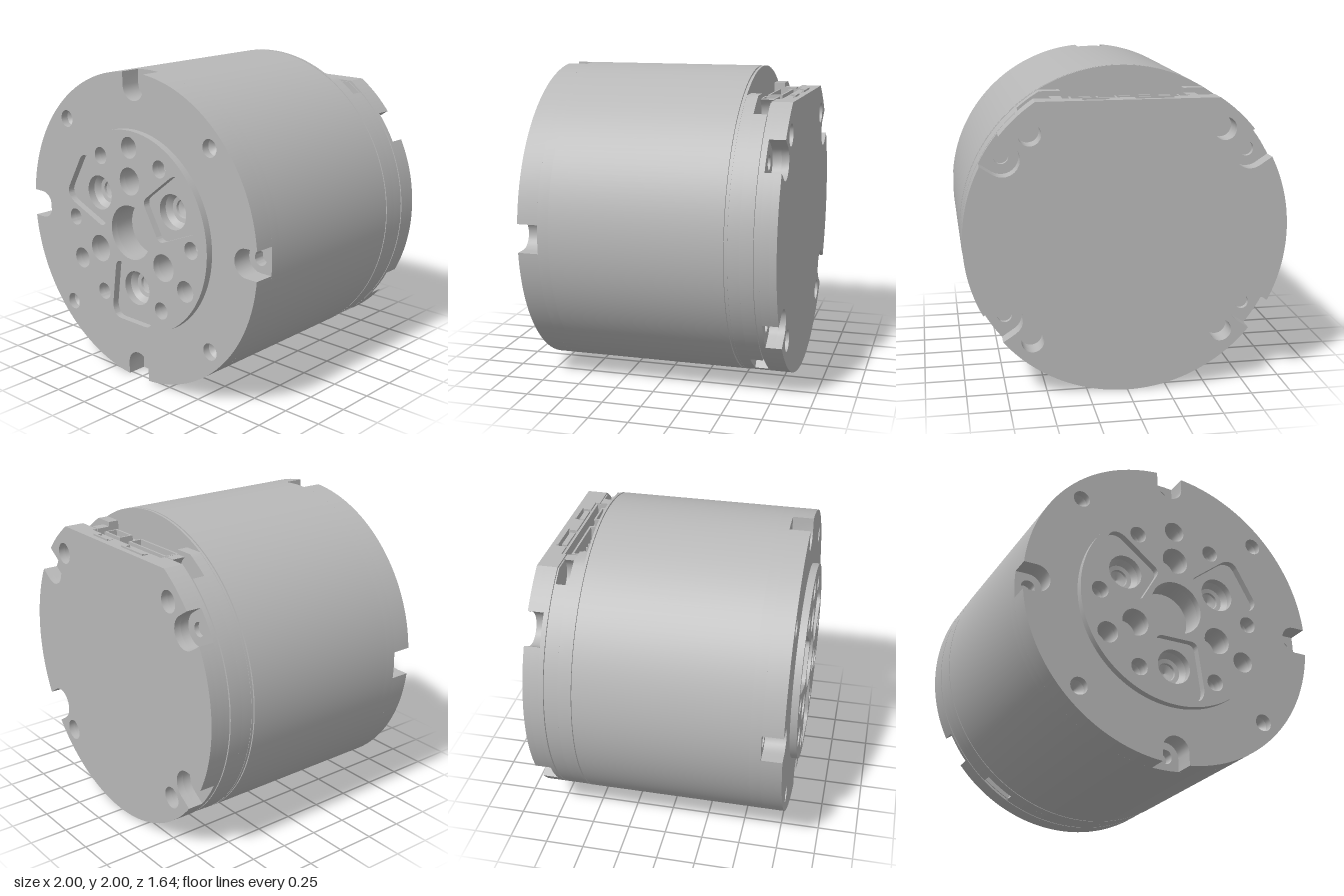
import * as THREE from 'three';
import { toCreasedNormals } from 'three/addons/utils/BufferGeometryUtils.js';

const TAU = Math.PI * 2, RAD = Math.PI / 180;
const V = (x, y) => new THREE.Vector2(x, y);
const polar = (r, deg) => [r * Math.cos(deg * RAD), r * Math.sin(deg * RAD)];

// Round-bottomed radial slot cut into a disc rim: angles it spans and its points
function slot(R, deg, w, rc) {
  const a = deg * RAD, d = Math.asin(w / R), rim = Math.sqrt(R * R - w * w);
  const at = (r, t) => V(r * Math.cos(a) - t * Math.sin(a), r * Math.sin(a) + t * Math.cos(a));
  const pts = [at(rim, -w)];
  for (let i = 0; i <= 12; i++) {
    const q = -Math.PI / 2 - (i / 12) * Math.PI;
    pts.push(at(rc + w * Math.cos(q), w * Math.sin(q)));
  }
  pts.push(at(rim, w));
  return { from: a - d, to: a + d, pts };
}

// Flat top at height h with rectangular recesses [xRight, xLeft, floor]
function flatTop(R, h, recesses = []) {
  const a = Math.asin(h / R), x = R * Math.cos(a), pts = [V(x, h)];
  for (const [r, l, f] of recesses) pts.push(V(r, h), V(r, f), V(l, f), V(l, h));
  pts.push(V(-x, h));
  return { from: a, to: Math.PI - a, pts };
}

// Disc outline made of arcs between cuts
function outline(R, cuts = []) {
  const pts = [], list = cuts.length ? [...cuts].sort((p, q) => p.from - q.from) : [{ from: 0, to: 0, pts: [] }];
  list.forEach((c, i) => {
    pts.push(...c.pts);
    const end = i + 1 < list.length ? list[i + 1].from : list[0].from + TAU;
    const n = Math.max(2, Math.ceil((end - c.to) / (2 * RAD)));
    for (let k = 1; k < n; k++) {
      const t = c.to + ((end - c.to) * k) / n;
      pts.push(V(R * Math.cos(t), R * Math.sin(t)));
    }
    if (!c.pts.length) pts.push(V(R, 0));
  });
  return new THREE.Shape(pts);
}

const circle = ([x, y], r) => new THREE.Path().absarc(x, y, r, 0, TAU, true);

// Rounded trapezoid pocket pointing outward along an angle
function pocket(deg) {
  const a = deg * RAD, c = [[0.21, -0.14], [0.54, -0.185], [0.6, -0.15], [0.6, 0.15], [0.54, 0.185], [0.21, 0.14]];
  const p = c.map(([r, t]) => V(r * Math.cos(a) - t * Math.sin(a), r * Math.sin(a) + t * Math.cos(a)));
  const path = new THREE.Path();
  p.forEach((q, i) => {
    const prev = p[(i + 5) % 6], next = p[(i + 1) % 6];
    const s = q.clone().lerp(prev, Math.min(0.4, 0.045 / q.distanceTo(prev)));
    const e = q.clone().lerp(next, Math.min(0.4, 0.045 / q.distanceTo(next)));
    if (i) path.lineTo(s.x, s.y); else path.moveTo(s.x, s.y);
    path.quadraticCurveTo(q.x, q.y, e.x, e.y);
  });
  path.closePath();
  return path;
}

export function createModel() {
  const group = new THREE.Group();
  group.name = 'actuator';
  const motor = new THREE.Group();
  motor.name = 'motor';
  motor.position.y = 1;
  group.add(motor);
  const grey = new THREE.MeshStandardMaterial({ color: 0xb8b8b8, side: THREE.DoubleSide });
  grey.name = 'grey metal';

  const add = (name, geo) => {
    const m = new THREE.Mesh(geo, grey);
    m.name = name;
    motor.add(m);
    return m;
  };
  const layer = (name, shape, z0, z1, holes = []) => {
    shape.holes.push(...holes);
    const g = new THREE.ExtrudeGeometry(shape, { depth: z1 - z0, bevelEnabled: false, curveSegments: 16 });
    return add(name, toCreasedNormals(g.translate(0, 0, z0), 0.6));
  };
  const box = (name, w, h, d, x, y, z) => add(name, new THREE.BoxGeometry(w, h, d).translate(x, y, z));
  // Turned bottom of a drilled hole
  const drill = (name, [x, y], profile) => {
    const g = new THREE.LatheGeometry(profile.map(p => V(...p)), 32).rotateX(Math.PI / 2);
    add(name, toCreasedNormals(g.translate(x, y, 0), 0.3));
  };

  // Hole positions on the front
  const quarter = [0, 90, 180, 270], third = [90, 210, 330], pockets = [30, 150, 270];
  const rimHoles = [45, 135, 225, 315].map(a => polar(0.892, a));
  const boltHoles = [0, 60, 120, 180, 240, 300].map(a => polar(0.522, a));
  const pocketHoles = pockets.map(a => polar(0.38, a));
  const hubHoles = () => [
    circle([0, 0], 0.175),
    ...boltHoles.map(p => circle(p, 0.055)),
    ...third.map(a => circle(polar(0.33, a), 0.088)),
    ...third.map(a => circle(polar(0.543, a), 0.068)),
  ];

  // Output hub and front plate
  layer('outputHub', outline(0.65), 0.78, 0.825, [...hubHoles(), ...pockets.map(pocket)]);
  layer('frontPlate', outline(1, quarter.map(a => slot(1, a, 0.09, 0.915))), 0.65, 0.78,
    [...hubHoles(), ...rimHoles.map(p => circle(p, 0.055)), ...pocketHoles.map(p => circle(p, 0.112))]);
  for (const p of [...rimHoles, ...boltHoles]) drill('holeBottom', p, [[0, 0.66], [0.055, 0.73]]);
  for (const p of pocketHoles)
    drill('pocketHoleBottom', p, [[0, 0.655], [0.055, 0.675], [0.058, 0.69], [0.085, 0.695], [0.112, 0.73]]);

  // Main housing, with screw holes in the floors of the front slots
  layer('housingFront', outline(1), 0.58, 0.65, quarter.map(a => circle(polar(0.915, a), 0.045)));
  layer('housing', outline(1), -0.507, 0.58);
  layer('seamFront', outline(0.988), -0.515, -0.507);
  layer('rearRing', outline(1), -0.53, -0.515);

  // Rear spacer with flat top, connector recess and side slots
  const recess = [0.38, -0.38, 0.7];
  layer('spacerFront', outline(0.998, [flatTop(0.998, 0.86, [recess])]), -0.6, -0.53);
  const R = 0.998, right = slot(R, 55.7, 0.1, 0.9);
  const half = [...right.pts.slice(0, -1), V(0.45, 0.83), V(0.38, 0.83), V(0.38, 0.7)];
  const top = { from: right.from, to: Math.PI - right.from,
    pts: [...half, ...half.map(p => V(-p.x, p.y)).reverse()] };
  layer('spacerRear', outline(R, [top, slot(R, 235.7, 0.1, 0.9), slot(R, 304.3, 0.1, 0.9)]), -0.682, -0.6);
  layer('seamRear', outline(0.985, [flatTop(0.985, 0.82, [recess])]), -0.69, -0.682);

  // Rear cover with four screw slots and four round holes
  const slotAngles = [33.4, 146.6, 213.4, 326.6];
  const coverHoles = () => [[1, 1], [-1, 1], [-1, -1], [1, -1]].map(([x, y]) => circle([x * 0.59, y * 0.64], 0.07));
  const coverSlots = () => slotAngles.map(a => slot(R, a, 0.105, 0.9));
  layer('coverBase', outline(R, [flatTop(R, 0.83, [[0.38, -0.38, 0.7]])]), -0.72, -0.69,
    [...coverHoles(), ...slotAngles.map(a => circle(polar(0.9, a), 0.045))]);
  const ports = [[0.27, 0.11, 0.77], [-0.05, -0.28, 0.77]];
  layer('coverMiddle', outline(R, [flatTop(R, 0.83, ports), ...coverSlots()]), -0.775, -0.72, coverHoles());
  layer('cover', outline(R, [flatTop(R, 0.83), ...coverSlots()]), -0.82, -0.775, coverHoles());

  // Upward-facing sockets with pins
  for (const [x0, x1, pins] of [[-0.35, 0.05, 8], [0.15, 0.33, 4]]) {
    const rect = (C, i) => new C([V(x0 + i, 0.57 + i), V(x1 - i, 0.57 + i), V(x1 - i, 0.665 - i), V(x0 + i, 0.665 - i)]);
    const s = rect(THREE.Shape, 0);
    s.holes.push(rect(THREE.Path, 0.012));
    const g = new THREE.ExtrudeGeometry(s, { depth: 0.12, bevelEnabled: false });
    add('socket', g.rotateX(-Math.PI / 2).translate(0, 0.7, 0));
    for (let i = 0; i < pins; i++)
      box('pin', 0.01, 0.08, 0.018, x0 + ((x1 - x0) * (i + 0.5)) / pins, 0.74, -0.617);
  }
  // Recess ledges and small port shells
  box('recessLedge', 0.76, 0.1, 0.015, 0, 0.77, -0.712);
  box('recessSill', 0.72, 0.08, 0.03, 0, 0.74, -0.55);
  for (const [r, l] of ports) {
    box('portShell', r - l, 0.012, 0.012, (r + l) / 2, 0.835, -0.778);
    box('portBody', (r - l) * 0.75, 0.05, 0.035, (r + l) / 2, 0.8, -0.742);
  }
  return group;
}
